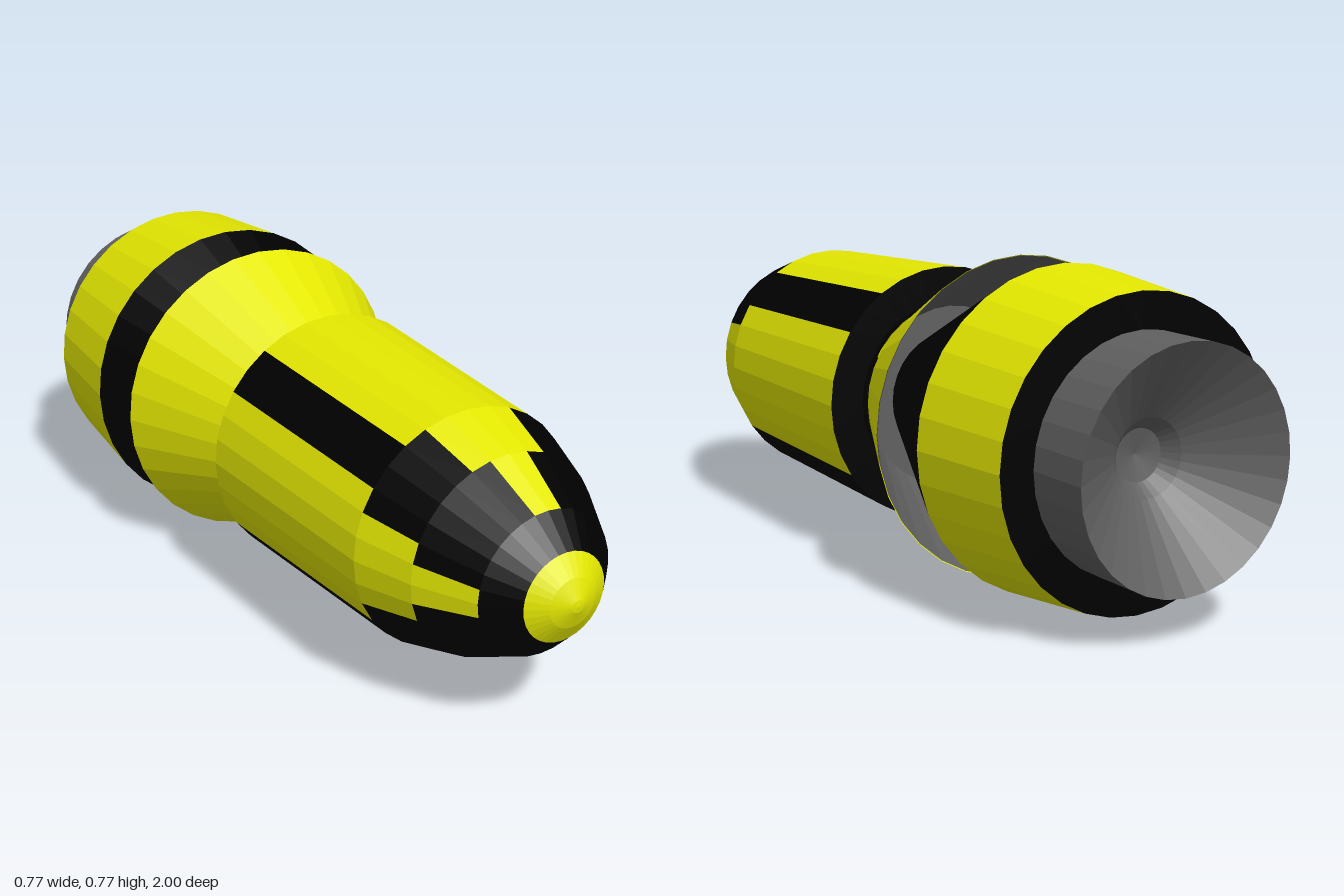
import * as THREE from 'three';

const SIDES = 32;
const STEP = (Math.PI * 2) / SIDES;
const paint = (color) => new THREE.MeshStandardMaterial({ color, flatShading: true, side: THREE.DoubleSide });

export function createModel() {
  const yellow = paint(0xe4e800), black = paint(0x000000), grey = paint(0x606060);
  const model = new THREE.Group();
  model.name = 'projectile';

  // Turned part about the z axis; profile is [radius, z] from back to front,
  // optionally covering only some of the facets.
  function turned(name, material, profile, first = 0, count = SIDES) {
    const points = profile.map(([r, z]) => new THREE.Vector2(r, z));
    const geometry = new THREE.LatheGeometry(points, count, first * STEP, count * STEP);
    geometry.rotateX(Math.PI / 2);
    const mesh = new THREE.Mesh(geometry, material);
    mesh.name = name;
    mesh.position.y = 0.386;
    model.add(mesh);
  }

  // Rounded nose tip
  turned('noseTip', yellow, [[0.108, 0.95], [0.06, 0.98], [0.015, 0.998], [0, 1]]);

  // Front body: black ogive rings, with yellow panels stepping narrower to the nose
  const body = [[0.32, -0.02], [0.298, 0.58], [0.25, 0.735], [0.176, 0.88], [0.108, 0.95]];
  const panelHalf = [3, 2, 1];
  panelHalf.forEach((half, i) => {
    const band = [body[i], body[i + 1]];
    for (let q = 0; q < 4; q++) {
      turned('bodyPanel', yellow, band, q * 8 - half, half * 2);
      turned('bodyStripe', black, band, q * 8 + half, 8 - half * 2);
    }
  });
  turned('noseBand', black, [body[3], body[4]]);
  turned('bodyBack', black, [[0.23, -0.02], [0.32, -0.02]]);
  turned('neck', black, [[0.233, -0.04], [0.233, -0.02]]);

  // Flared skirt open to the rear, yellow outside; the grey lining is closed at the neck
  turned('skirt', yellow, [[0.385, -0.36], [0.23, -0.04]]);
  turned('skirtLining', grey, [[0, -0.045], [0.225, -0.045], [0.383, -0.36]]);

  // Rear body: black core running into the skirt, yellow band, black back face
  turned('rearCore', black, [[0.386, -0.54], [0.305, -0.36], [0.163, -0.045]]);
  turned('rearBand', yellow, [[0.359, -0.83], [0.386, -0.54]]);
  turned('rearFace', black, [[0.27, -0.83], [0.359, -0.83]]);

  // Nozzle with a hollow cone and a small rounded throat
  turned('nozzle', grey, [[0.275, -1], [0.275, -0.83]]);
  turned('nozzleHollow', grey, [[0, -0.81], [0.06, -0.825], [0.09, -0.86], [0.275, -1]]);

  return model;
}
